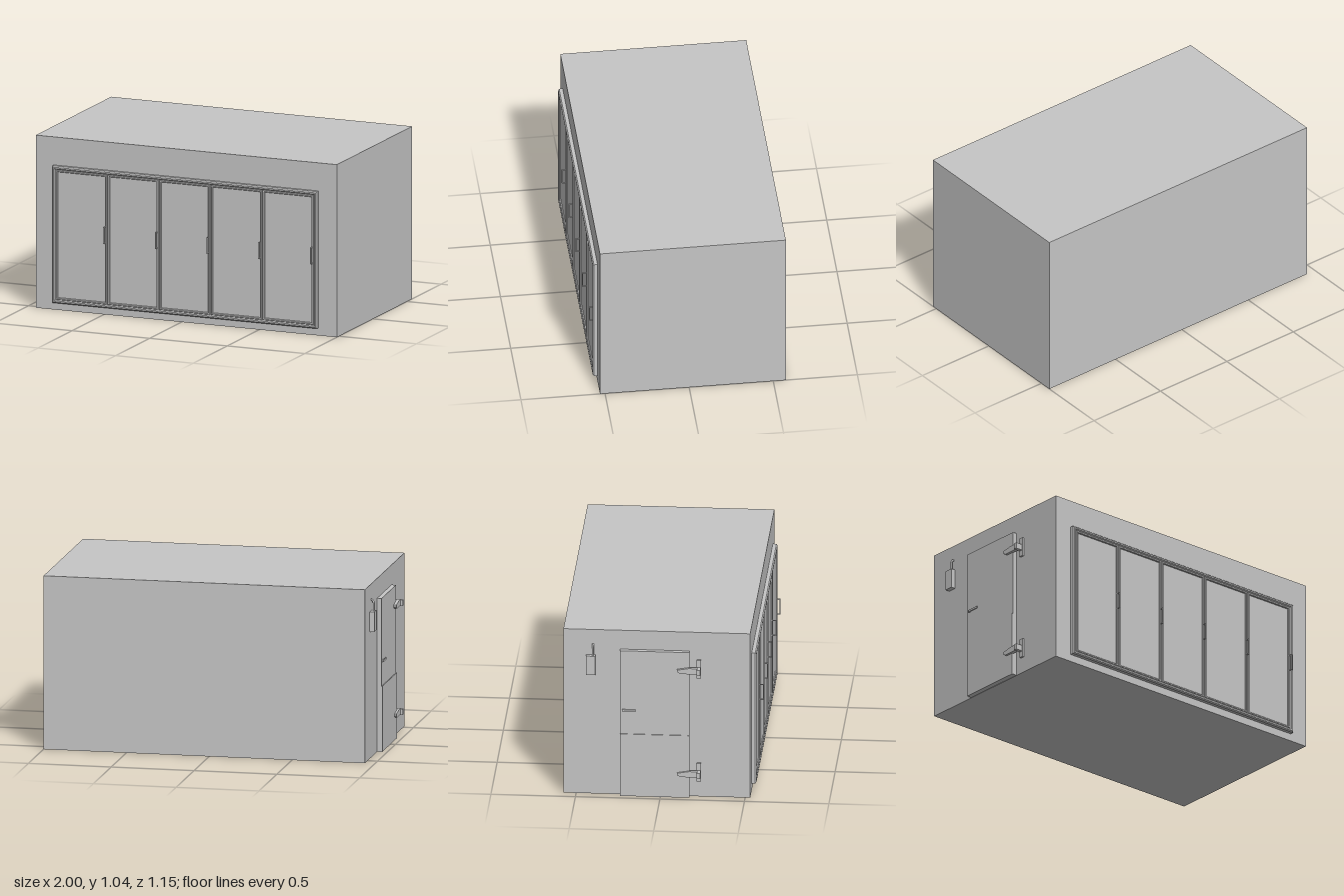
import * as THREE from 'three';

export function createModel() {
  const model = new THREE.Group();
  model.name = 'walkInCooler';
  const grey = new THREE.MeshStandardMaterial({ color: 0xc6c6c6 });
  grey.name = 'light grey';

  const add = (name, geometry, parent = model) => {
    const mesh = new THREE.Mesh(geometry, grey);
    mesh.name = name;
    parent.add(mesh);
    return mesh;
  };
  // box given by its limits on each axis
  const box = (name, x0, x1, y0, y1, z0, z1, parent) =>
    add(name, new THREE.BoxGeometry(x1 - x0, y1 - y0, z1 - z0), parent)
      .position.set((x0 + x1) / 2, (y0 + y1) / 2, (z0 + z1) / 2);
  const group = (name) => {
    const g = new THREE.Group();
    g.name = name;
    model.add(g);
    return g;
  };
  const rect = (P, x0, x1, y0, y1) => {
    const p = new P();
    p.moveTo(x0, y0).lineTo(x1, y0).lineTo(x1, y1).lineTo(x0, y1).closePath();
    return p;
  };
  // rectangular frame with chamfered front edges
  const frame = (name, x0, x1, y0, y1, w, z0, z1, bevel, parent) => {
    const shape = rect(THREE.Shape, x0, x1, y0, y1);
    shape.holes.push(rect(THREE.Path, x0 + w, x1 - w, y0 + w, y1 - w));
    const geo = new THREE.ExtrudeGeometry(shape, {
      depth: z1 - z0 - bevel, bevelEnabled: true, bevelSegments: 1,
      bevelSize: bevel, bevelThickness: bevel, bevelOffset: -bevel,
    });
    add(name, geo, parent).position.z = z0;
  };
  // outline in (z, y) extruded from x0 towards -x
  const sideProfile = (name, points, x0, depth, parent) => {
    const shape = new THREE.Shape(points.map(([z, y]) => new THREE.Vector2(z, y)));
    const geo = new THREE.ExtrudeGeometry(shape, { depth, bevelEnabled: false });
    geo.rotateY(-Math.PI / 2);
    add(name, geo, parent).position.x = x0;
  };

  // insulated room
  box('roomBody', -0.94, 1, 0, 1.045, -0.575, 0.53);

  // display front: surround, backing and five glass doors
  const front = group('displayFront');
  frame('displaySurround', -0.825, 0.882, 0.045, 0.875, 0.022, 0.53, 0.558, 0.007, front);
  box('displayBacking', -0.81, 0.87, 0.06, 0.86, 0.525, 0.538, front);
  const first = -0.804, pitch = 0.333;
  for (let i = 0; i < 5; i++) {
    const x0 = first + i * pitch + 0.002, x1 = first + (i + 1) * pitch - 0.002;
    frame('glassDoorFrame', x0, x1, 0.066, 0.853, 0.013, 0.535, 0.555, 0.003, front);
    box('glassPane', x0 + 0.01, x1 - 0.01, 0.075, 0.843, 0.536, 0.546, front);
    // open bar handle
    const hx = x1 - 0.008;
    box('handleBar', hx - 0.004, hx + 0.004, 0.438, 0.538, 0.572, 0.577, front);
    for (const y of [0.438, 0.533])
      box('handlePost', hx - 0.004, hx + 0.004, y, y + 0.005, 0.55, 0.574, front);
  }

  // entry door on the side, with kick plate and latch
  const entry = group('entryDoor');
  box('doorLeaf', -0.967, -0.935, 0.002, 0.925, -0.24, 0.172, entry);
  box('kickPlate', -0.972, -0.965, 0.002, 0.397, -0.238, 0.17, entry);
  box('latchBar', -0.978, -0.973, 0.542, 0.554, -0.225, -0.145, entry);
  box('latchPost', -0.975, -0.96, 0.542, 0.554, -0.225, -0.207, entry);

  // strap hinges
  for (const y of [0.812, 0.155]) {
    const hinge = group('hinge');
    box('hingePlate', -0.952, -0.935, y - 0.057, y + 0.06, 0.214, 0.24, hinge);
    box('hingeArm', -0.998, -0.945, y - 0.022, y + 0.014, 0.216, 0.238, hinge);
    sideProfile('hingeStrap', [
      [0.1, y - 0.006], [0.12, y - 0.018], [0.22, y - 0.018],
      [0.22, y + 0.018], [0.17, y + 0.018], [0.1, y + 0.006],
    ], -0.962, 0.022, hinge);
  }

  // switch box with a conduit bending into the wall
  const control = group('switchBox');
  box('switchHousing', -0.968, -0.935, 0.765, 0.885, -0.44, -0.385, control);
  const path = new THREE.CatmullRomCurve3([
    [-0.956, 0.87], [-0.956, 0.91], [-0.955, 0.935], [-0.949, 0.948], [-0.935, 0.952],
  ].map(([x, y]) => new THREE.Vector3(x, y, -0.4)));
  add('conduit', new THREE.TubeGeometry(path, 16, 0.006, 10), control);

  return model;
}
